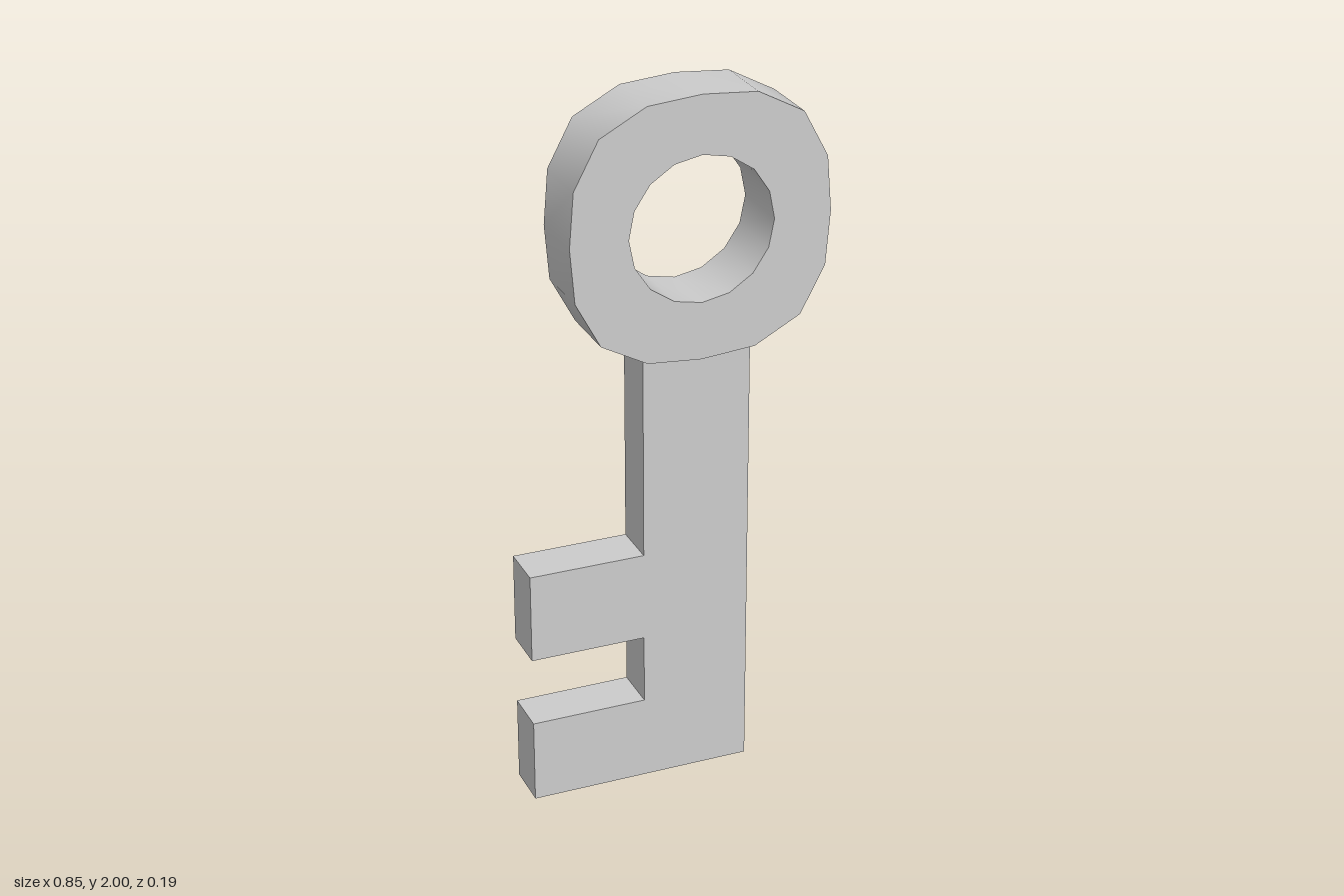
import * as THREE from 'three';
import { toCreasedNormals } from 'three/addons/utils/BufferGeometryUtils.js';

const material = new THREE.MeshStandardMaterial({ color: 0xcccccc });

// Extrude a front outline from z = back to z = front, smooth around gentle curves
function plate(name, shape, back, front) {
  const geometry = new THREE.ExtrudeGeometry(shape, { depth: front - back, bevelEnabled: false });
  geometry.translate(0, 0, back);
  const mesh = new THREE.Mesh(toCreasedNormals(geometry, Math.PI / 4), material);
  mesh.name = name;
  return mesh;
}

export function createModel() {
  const key = new THREE.Group();
  key.name = 'key';

  // Bow: slightly squared 16-sided ring with a round hole
  const cx = 0.056, cy = 1.635, sides = 16;
  const radii = [0.366, 0.385, 0.401, 0.385];
  const angles = [0, 23.4, 45, 66.6];
  const outer = [], inner = [];
  for (let i = 0; i < sides; i++) {
    const a = THREE.MathUtils.degToRad(Math.floor(i / 4) * 90 + angles[i % 4]);
    const r = radii[i % 4];
    outer.push(new THREE.Vector2(cx + r * Math.cos(a), cy + r * Math.sin(a)));
    const b = (i / sides) * Math.PI * 2;
    inner.push(new THREE.Vector2(cx + 0.204 * Math.cos(b), cy + 0.204 * Math.sin(b)));
  }
  const bow = new THREE.Shape(outer);
  bow.holes.push(new THREE.Path(inner));
  key.add(plate('bow', bow, -0.096, 0.092));

  // Shaft with two square teeth, in one outline
  const left = -0.1, right = 0.207, tip = -0.428;
  const blade = new THREE.Shape([
    [tip, 0], [right, 0], [right, 1.282], [left, 1.282],
    [left, 0.7], [tip, 0.7], [tip, 0.443], [left, 0.443],
    [left, 0.243], [tip, 0.243],
  ].map(([x, y]) => new THREE.Vector2(x, y)));
  key.add(plate('shaftAndTeeth', blade, -0.069, 0.065));

  return key;
}
